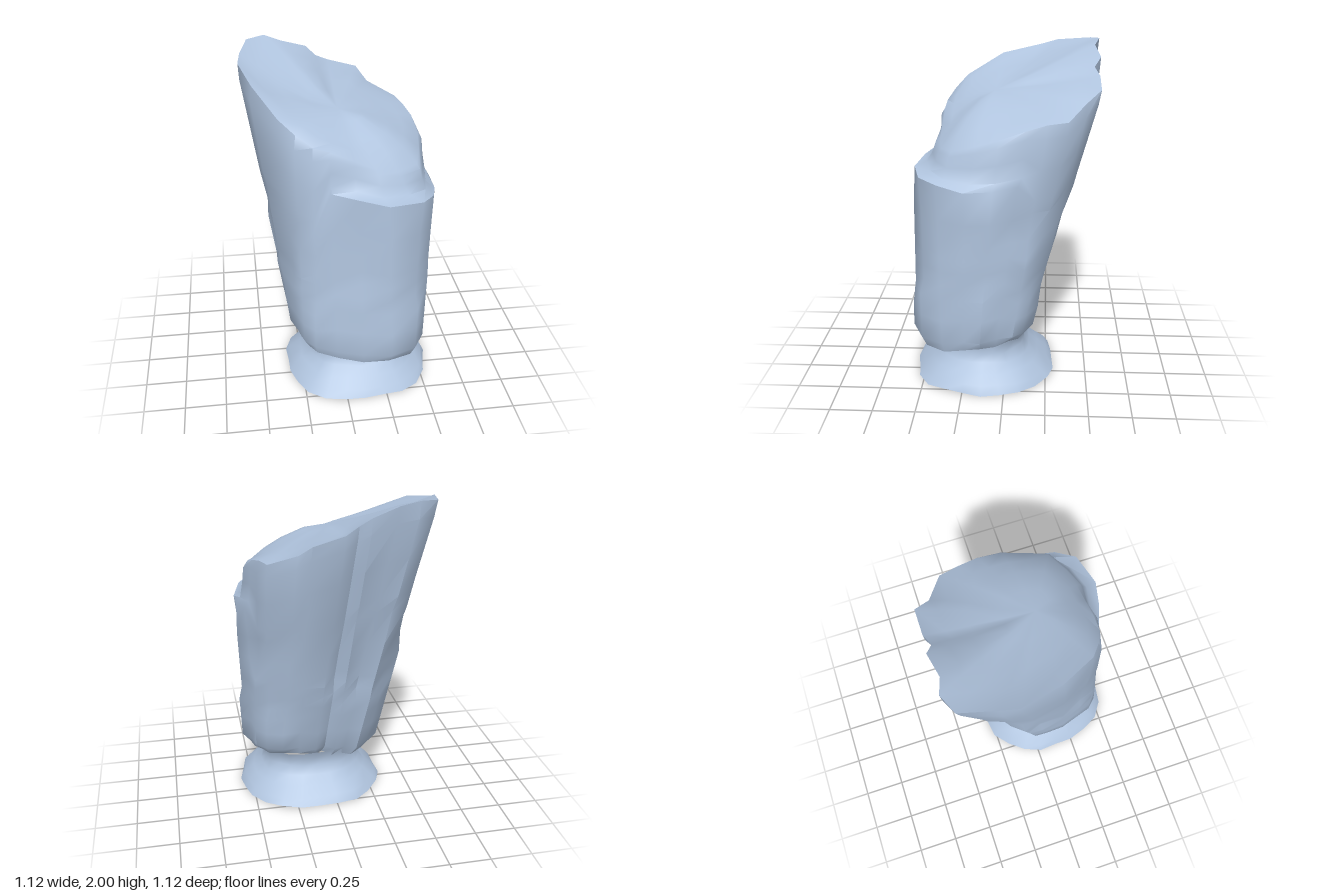
import * as THREE from 'three';
import { mergeVertices, toCreasedNormals } from 'three/addons/utils/BufferGeometryUtils.js';

// Each rock column: foot [x, z], rim [x, y, z] and, where it juts out, a ledge [x, y, z]
const COLUMNS = [
  [[-0.28, 0.08], [-0.555, 1.94, -0.20]],
  [[-0.26, 0.01], [-0.54, 1.97, -0.30]],
  [[-0.21, -0.06], [-0.49, 1.99, -0.51]],
  [[-0.13, -0.11], [-0.38, 2.00, -0.56]],
  [[-0.06, -0.09], [-0.28, 1.97, -0.53]],
  [[0.00, -0.12], [-0.12, 1.92, -0.56]],
  [[0.06, -0.09], [-0.06, 1.87, -0.52]],
  [[0.12, -0.13], [0.02, 1.83, -0.55]],
  [[0.22, -0.14], [0.20, 1.78, -0.55]],
  [[0.31, -0.13], [0.26, 1.71, -0.46]],
  [[0.41, -0.09], [0.42, 1.64, -0.36]],
  [[0.45, -0.03], [0.45, 1.63, -0.24]],
  [[0.49, 0.05], [0.48, 1.60, -0.12], [0.52, 1.30, -0.08]],
  [[0.51, 0.14], [0.49, 1.55, 0.03], [0.555, 1.28, 0.06]],
  [[0.51, 0.24], [0.47, 1.51, 0.16], [0.555, 1.27, 0.22]],
  [[0.49, 0.36], [0.43, 1.47, 0.30], [0.51, 1.30, 0.37]],
  [[0.41, 0.48], [0.31, 1.46, 0.37], [0.43, 1.32, 0.48]],
  [[0.26, 0.54], [0.18, 1.49, 0.39], [0.23, 1.33, 0.53]],
  [[0.10, 0.54], [0.05, 1.55, 0.39], [0.07, 1.36, 0.49]],
  [[-0.05, 0.50], [-0.08, 1.61, 0.39], [-0.08, 1.38, 0.43]],
  [[-0.18, 0.45], [-0.18, 1.64, 0.385]],
  [[-0.23, 0.38], [-0.27, 1.70, 0.34]],
  [[-0.27, 0.29], [-0.36, 1.77, 0.27]],
  [[-0.29, 0.18], [-0.49, 1.89, 0.05]],
];
const N = COLUMNS.length;
const CX = 0.11, CZ = 0.135;   // centre of the foot
const lerp = THREE.MathUtils.lerp;
const mix = (a, b, t) => a.map((v, i) => lerp(v, b[i], t));

function makeRandom(seed) {
  return () => {
    seed = (seed * 16807) % 2147483647;
    return seed / 2147483647;
  };
}

// Joins closed rings of points, each going round clockwise from above
function loft(rings, crease) {
  const n = rings[0].length;
  const index = [];
  for (let r = 0; r < rings.length - 1; r++) {
    for (let j = 0; j < n; j++) {
      const a = r * n + j, b = r * n + (j + 1) % n;
      index.push(a, a + n, b, b, a + n, b + n);
    }
  }
  const geometry = new THREE.BufferGeometry();
  geometry.setAttribute('position', new THREE.Float32BufferAttribute(rings.flat(2), 3));
  geometry.setIndex(index);
  return toCreasedNormals(mergeVertices(geometry), crease);
}

function pillarGeometry() {
  const random = makeRandom(41);
  const columns = COLUMNS.map(([[x, z], rim, ledge], j) => {
    // Feet hang lowest at the back left and front right
    const hang = 0.03 * Math.cos((j - 3) * Math.PI * 2 / 13);
    const foot = [x, 0.272 - hang + random() * 0.015, z];
    return {
      foot, rim,
      ledge: ledge ?? mix(foot, rim, 0.62),
      stepBack: ledge ? 0.3 : 1,
      breakAt: 0.3 + random() * 0.4,           // where the lower block ends
      blockOut: random() * 0.03,
      flute: (j % 2 ? 0.01 : -0.01) + (random() - 0.5) * 0.012,
    };
  });
  // Moves a point away from the leaning axis of the pillar
  const push = ([x, y, z], out) => {
    const t = (y - 0.28) / 1.5;
    const dx = x - lerp(CX, 0, t), dz = z - lerp(CZ, -0.08, t);
    const d = Math.hypot(dx, dz);
    return [x + dx / d * out, y, z + dz / d * out];
  };

  // Underside runs from the neck out to the foot of the columns
  const rings = [columns.map(({ foot: [x, , z] }) =>
    [lerp(CX, x, 0.76), 0.3, lerp(CZ, z, 0.8)])];

  // Walls from the foot to the ledge
  for (const t of [0, 0.06, 0.2, 0.33, 0.42, 0.5, 0.58, 0.66, 0.8, 1]) {
    rings.push(columns.map((c) => {
      const block = t > 0 && t < c.breakAt ? c.blockOut : 0;
      const out = t === 0 ? -0.012 : t === 1 ? 0.004 : c.flute + block;
      return push(mix(c.foot, c.ledge, t), out);
    }));
  }

  // Walls from the ledge to the rim, set back above the front ledges
  for (const t of [0.15, 0.5, 0.85, 1]) {
    rings.push(columns.map((c) => {
      const [x, , z] = mix(c.ledge, c.rim, t ** c.stepBack);
      const y = lerp(c.ledge[1], c.rim[1], t);
      return push([x, y, z], t === 1 ? -0.006 : 0.008 + c.flute * 0.6);
    }));
  }

  // Sloping top, steep towards the front, with shallow valleys
  const crown = [0.0, 1.74, 0.07];
  for (const s of [0.8, 0.6, 0.3]) {
    rings.push(columns.map((c, j) => {
      const [x, , z] = mix(crown, c.rim, s);
      const power = c.rim[1] < crown[1] ? 1.6 : 1.15;
      const y = lerp(crown[1], c.rim[1], s ** power);
      const valley = Math.cos((j - 6) * Math.PI / 3) * 0.018 * s;
      return [x, y - valley, z];
    }));
  }
  rings.push(columns.map(() => crown));
  return loft(rings, 0.85);
}

// Open flared skirt with a narrow neck
function skirtGeometry() {
  const random = makeRandom(7);
  const profile = [   // x radius, z radius, height
    [0.45, 0.43, 0.015], [0.425, 0.395, 0.05], [0.365, 0.335, 0.1],
    [0.32, 0.28, 0.15], [0.3, 0.25, 0.2], [0.3, 0.25, 0.25], [0.31, 0.27, 0.3],
  ];
  const lobes = Array.from({ length: N }, () => 0.975 + random() * 0.05);
  const rings = profile.map(([rx, rz, y], i) => lobes.map((lobe, j) => {
    const angle = Math.PI + j / N * Math.PI * 2;
    const corner = 0.07 * Math.sin(2 * angle) ** 2;
    const k = lobe + corner + (random() - 0.5) * 0.03;
    const h = i === 0 ? random() * 0.02 : y + (random() - 0.5) * 0.012;
    return [CX + Math.cos(angle) * rx * k, h, CZ + Math.sin(angle) * rz * k];
  }));
  return loft(rings, 1.2);
}

export function createModel() {
  const stone = new THREE.MeshStandardMaterial({ color: 0xb0c4de, side: THREE.DoubleSide });
  stone.name = 'pale blue stone';

  const model = new THREE.Group();
  model.name = 'rockPillar';
  const add = (name, geometry) => {
    const mesh = new THREE.Mesh(geometry, stone);
    mesh.name = name;
    model.add(mesh);
  };
  add('pillar', pillarGeometry());
  add('flaredBase', skirtGeometry());
  return model;
}
